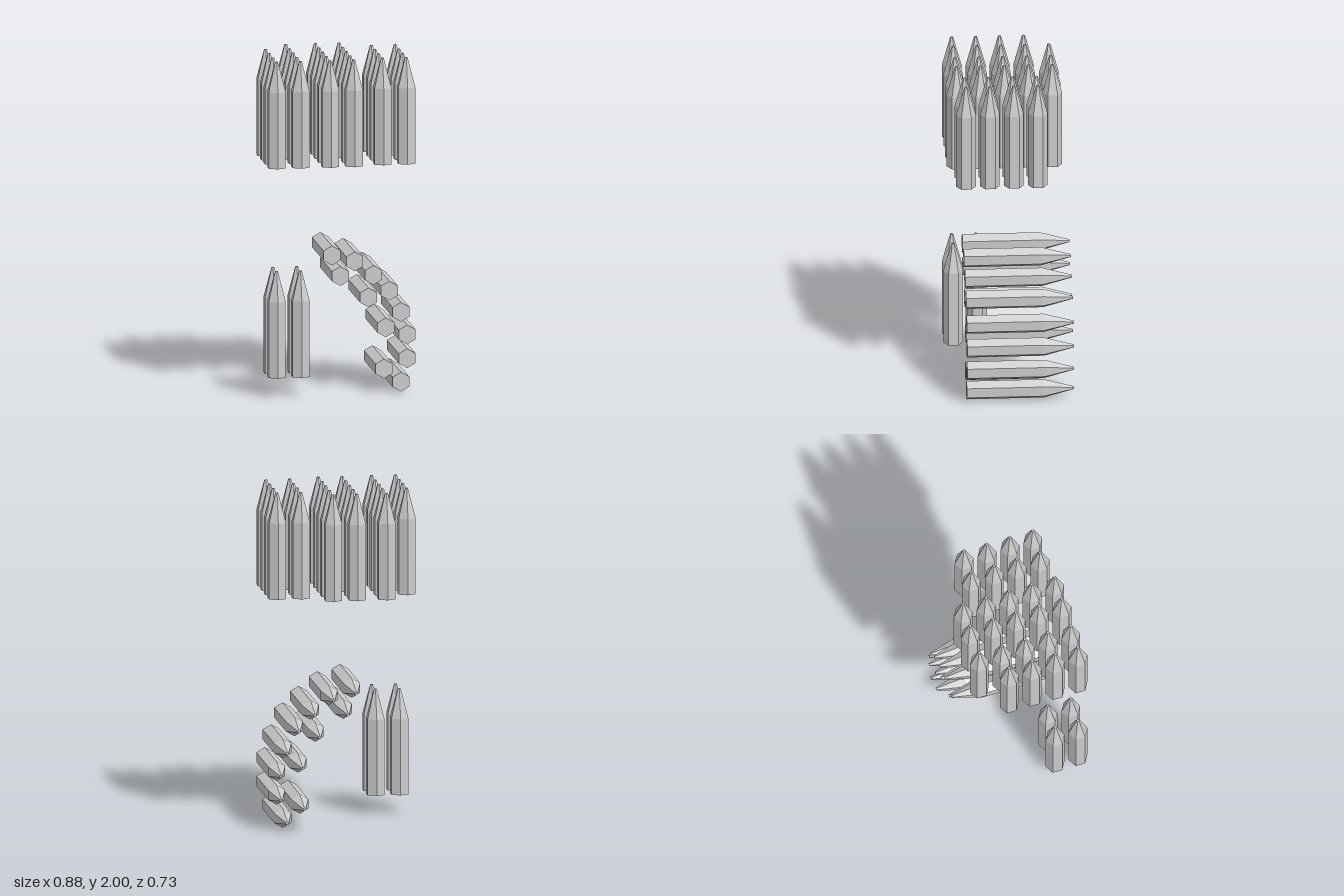
import * as THREE from 'three';

const R = 0.058, TIP_R = 0.009, LENGTH = 0.632, BODY = 0.455;

// Hexagonal pencil standing on its flat end: straight body, tapered tip
function pencilGeometry() {
  const geo = new THREE.CylinderGeometry(TIP_R, R, LENGTH, 6, 2);
  geo.translate(0, LENGTH / 2, 0);
  const p = geo.attributes.position;
  for (let i = 0; i < p.count; i++) {
    if (Math.abs(p.getY(i) - LENGTH / 2) > 0.01) continue;
    // middle ring becomes the shoulder where the taper starts
    const a = Math.atan2(p.getX(i), p.getZ(i));
    p.setXYZ(i, R * Math.sin(a), BODY, R * Math.cos(a));
  }
  geo.computeVertexNormals();
  return geo;
}

export function createModel() {
  const model = new THREE.Group();
  model.name = 'pencils';
  const geo = pencilGeometry();
  const mat = new THREE.MeshStandardMaterial({ color: 0xcccccc, flatShading: true });

  const addGroup = (name) => {
    const g = new THREE.Group();
    g.name = name;
    model.add(g);
    return g;
  };
  const addPencil = (group, x, y, z) => {
    const m = new THREE.Mesh(geo, mat);
    m.name = 'pencil';
    m.position.set(x, y, z);
    group.add(m);
    return m;
  };

  // Upright columns: x, z of the front pencil, number in the row going back
  const STEP = 0.141;
  const addRows = (group, y, rows) => {
    for (const [x, z, n] of rows)
      for (let i = 0; i < n; i++) addPencil(group, x, y, z - i * STEP);
  };
  addRows(addGroup('upperPencils'), 1.368, [
    [-0.395, 0.306, 4], [-0.253, 0.306, 5],
    [-0.077, 0.306, 5], [0.064, 0.306, 5],
    [0.24, 0.27, 4], [0.382, 0.27, 4],
  ]);
  addRows(addGroup('lowerPencils'), 0.117, [
    [-0.395, 0.306, 2], [-0.253, 0.306, 2],
  ]);

  // Lying pencils in an arc, tips pointing back
  const lying = addGroup('lyingPencils');
  const arc = [
    [-0.058, 0.826], [0.077, 0.787], [-0.008, 0.701], [0.188, 0.702],
    [0.283, 0.606], [0.159, 0.569], [0.352, 0.477], [0.262, 0.387],
    [0.389, 0.341], [0.389, 0.199], [0.251, 0.141], [0.352, 0.06],
  ];
  for (const [x, y] of arc) addPencil(lying, x, y, 0.265).rotation.x = -Math.PI / 2;

  return model;
}
